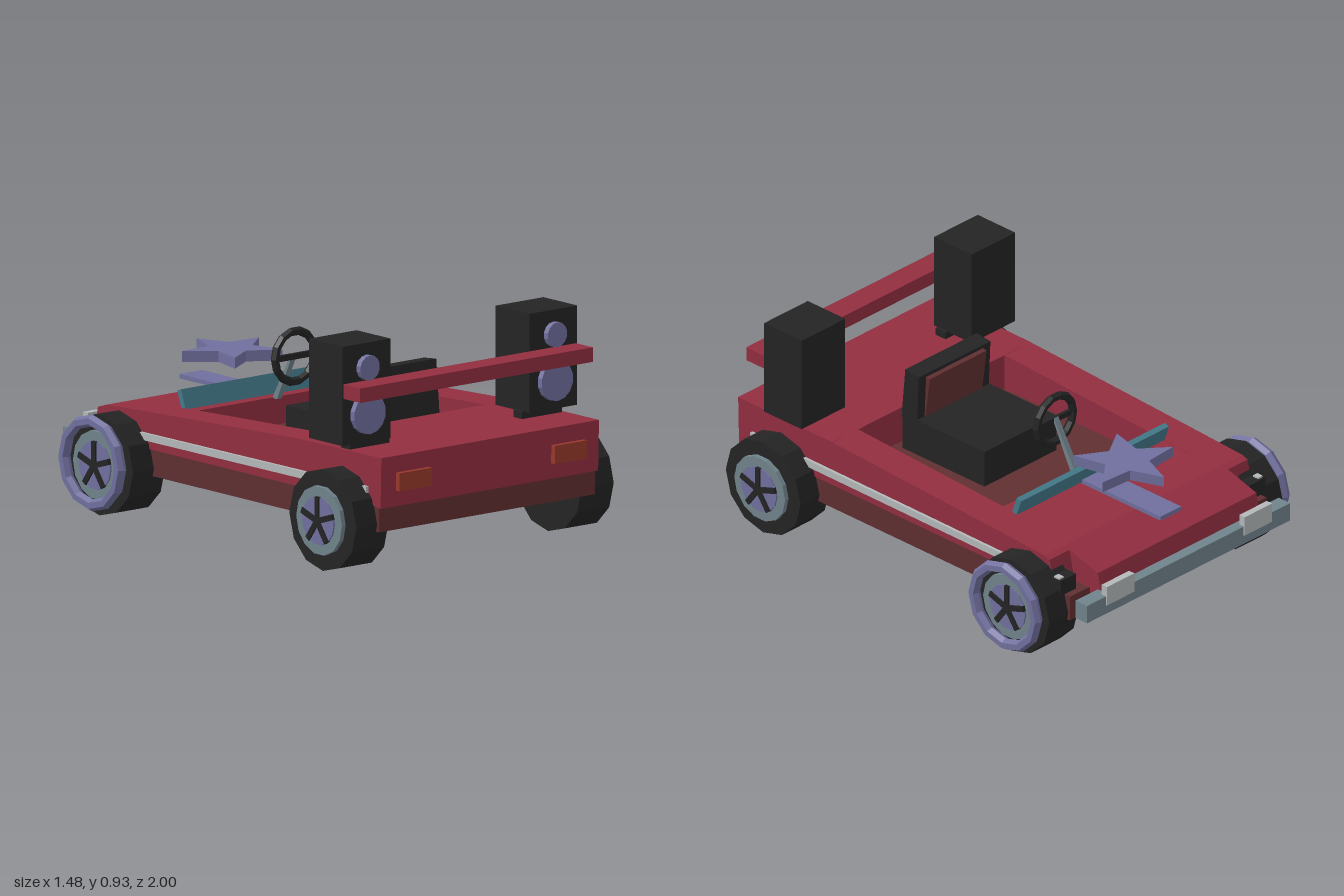
import * as THREE from 'three';

const mat = (name, color) => {
  const m = new THREE.MeshStandardMaterial({ color, flatShading: true });
  m.name = name;
  return m;
};

export function createModel() {
  const red = mat('body red', 0x932e40);
  const brown = mat('chassis brown', 0x602f30);
  const black = mat('rubber black', 0x242424);
  const purple = mat('accent purple', 0x706f9e);
  const grey = mat('metal grey', 0x70838b);
  const teal = mat('windscreen teal', 0x437a8a);
  const white = mat('pale grey', 0xb4b8b8);
  const orange = mat('tail light orange', 0x97392b);

  const car = new THREE.Group();
  car.name = 'car';

  const add = (name, geo, material, parent = car) => {
    const mesh = new THREE.Mesh(geo, material);
    mesh.name = name;
    parent.add(mesh);
    return mesh;
  };
  // Box given by its limits on each axis
  const box = (name, material, [x0, x1], [y0, y1], [z0, z1], parent) => {
    const mesh = add(name, new THREE.BoxGeometry(x1 - x0, y1 - y0, z1 - z0), material, parent);
    mesh.position.set((x0 + x1) / 2, (y0 + y1) / 2, (z0 + z1) / 2);
    return mesh;
  };
  // Side profile of [z, y] points, extruded from x0 to x1
  const slab = (name, material, x0, x1, points) => {
    const shape = new THREE.Shape(points.map(([z, y]) => new THREE.Vector2(z, y)));
    const geo = new THREE.ExtrudeGeometry(shape, { depth: x1 - x0, bevelEnabled: false });
    geo.rotateY(-Math.PI / 2).translate(x1, 0, 0);
    return add(name, geo, material);
  };
  // Box limits mirrored to the side s
  const side = (s, a, b) => (s > 0 ? [a, b] : [-b, -a]);

  // Chassis and cockpit floor
  box('chassis', brown, [-0.57, 0.57], [0.18, 0.29], [-0.88, 0.96]);
  box('cockpitFloor', brown, [-0.43, 0.43], [0.28, 0.33], [-0.4, 0.47]);

  // Bodywork
  slab('rearDeck', red, -0.575, 0.575,
    [[0.45, 0.29], [0.9, 0.29], [0.975, 0.28], [0.98, 0.49], [0.45, 0.487]]);
  slab('hood', red, -0.46, 0.46,
    [[-0.36, 0.29], [-0.36, 0.445], [-0.74, 0.43], [-0.93, 0.375], [-0.97, 0.2], [-0.885, 0.2], [-0.885, 0.29]]);

  for (const s of [1, -1]) {
    const [r0, r1] = side(s, 0.425, 0.575);
    slab('sideRail', red, r0, r1,
      [[0.46, 0.29], [0.46, 0.487], [-0.45, 0.445], [-0.74, 0.43], [-0.77, 0.42], [-0.8, 0.29]]);
    const [t0, t1] = side(s, 0.575, 0.588);
    slab('sideStripe', white, t0, t1, [[0.9, 0.33], [0.9, 0.362], [-0.53, 0.355], [-0.53, 0.325]]);

    // Lights and front brackets
    box('tailLight', orange, side(s, 0.325, 0.495), [0.345, 0.42], [0.97, 1]);
    box('headlight', white, side(s, 0.32, 0.48), [0.26, 0.345], [-1, -0.97]);
    box('frontBracket', black, side(s, 0.505, 0.595), [0.28, 0.36], [-0.85, -0.785]);
    box('markerLight', white, side(s, 0.565, 0.59), [0.355, 0.367], [-0.84, -0.81]);

    // Loudspeakers
    box('speaker', black, side(s, 0.367, 0.62), [0.515, 0.925], [0.58, 0.79]);
    box('speakerFoot', black, side(s, 0.35, 0.56), [0.48, 0.52], [0.71, 0.765]);
    for (const [y, r] of [[0.825, 0.052], [0.635, 0.084]]) {
      const cone = add('speakerCone', new THREE.CylinderGeometry(r, r, 0.03, 14), purple);
      cone.rotation.x = Math.PI / 2;
      cone.position.set(s * 0.495, y, 0.8);
    }
  }
  box('bumper', grey, [-0.59, 0.59], [0.22, 0.3], [-0.995, -0.93]);
  box('rearBar', red, [-0.615, 0.615], [0.71, 0.77], [0.79, 0.895]);

  // Windscreen
  const screen = box('windscreen', teal, [-0.43, 0.43], [0.43, 0.52], [-0.455, -0.43]);
  screen.rotation.x = -0.33;

  // Seat
  box('seatCushion', black, [-0.21, 0.21], [0.32, 0.49], [-0.05, 0.41]);
  slab('seatBack', black, -0.208, 0.208, [[0.417, 0.47], [0.396, 0.698], [0.32, 0.69], [0.33, 0.47]]);
  slab('seatBackPad', brown, -0.165, 0.165, [[0.331, 0.49], [0.322, 0.675], [0.3, 0.672], [0.324, 0.49]]);

  // Steering wheel and column
  const steering = add('steeringWheel', new THREE.TorusGeometry(0.105, 0.018, 6, 14), black);
  steering.position.set(0, 0.632, -0.243);
  box('steeringSpoke', black, [-0.1, 0.1], [0.62, 0.645], [-0.25, -0.236]);
  slab('steeringColumn', grey, -0.0125, 0.0125,
    [[-0.24, 0.645], [-0.34, 0.44], [-0.37, 0.44], [-0.25, 0.645]]);

  // Star ornament above a flat hood strip
  box('hoodStrip', purple, [-0.06, 0.06], [0.442, 0.46], [-0.895, -0.455]);
  const star = new THREE.Shape();
  for (let i = 0; i < 10; i++) {
    const a = (i * Math.PI) / 5;
    const r = i % 2 ? 0.095 : 0.214;
    star[i ? 'lineTo' : 'moveTo'](-Math.sin(a) * r, Math.cos(a) * r);
  }
  const starGeo = new THREE.ExtrudeGeometry(star, { depth: 0.045, bevelEnabled: false });
  add('starOrnament', starGeo.rotateX(-Math.PI / 2).translate(0, 0.56, -0.643), purple);

  // Wheels: built along +x, then turned for the other side
  const disc = (name, material, r, x0, x1, sides, parent) => {
    const geo = new THREE.CylinderGeometry(r, r, x1 - x0, sides);
    geo.rotateZ(-Math.PI / 2).translate((x0 + x1) / 2, 0, 0);
    add(name, geo, material, parent);
  };
  for (const s of [1, -1]) {
    for (const z of [0.738, -0.66]) {
      const wheel = new THREE.Group();
      wheel.name = z > 0 ? 'rearWheel' : 'frontWheel';
      disc('tyre', black, 0.21, 0.51, 0.68, 12, wheel);
      disc('rim', grey, 0.143, 0.67, 0.7, 14, wheel);
      disc('hubDisc', purple, 0.1, 0.69, 0.707, 14, wheel);
      for (let i = 0; i < 5; i++) {
        const geo = new THREE.BoxGeometry(0.014, 0.1, 0.024).translate(0.708, 0.05, 0);
        add('spoke', geo.rotateX((i * Math.PI * 2) / 5), black, wheel);
      }
      if (z < 0) {
        const ring = new THREE.TorusGeometry(0.175, 0.025, 6, 12);
        add('trimRing', ring.rotateY(Math.PI / 2).translate(0.718, 0.012, 0), purple, wheel);
      }
      wheel.position.set(0, 0.21, z);
      if (s < 0) wheel.rotation.y = Math.PI;
      car.add(wheel);
    }
  }
  return car;
}
